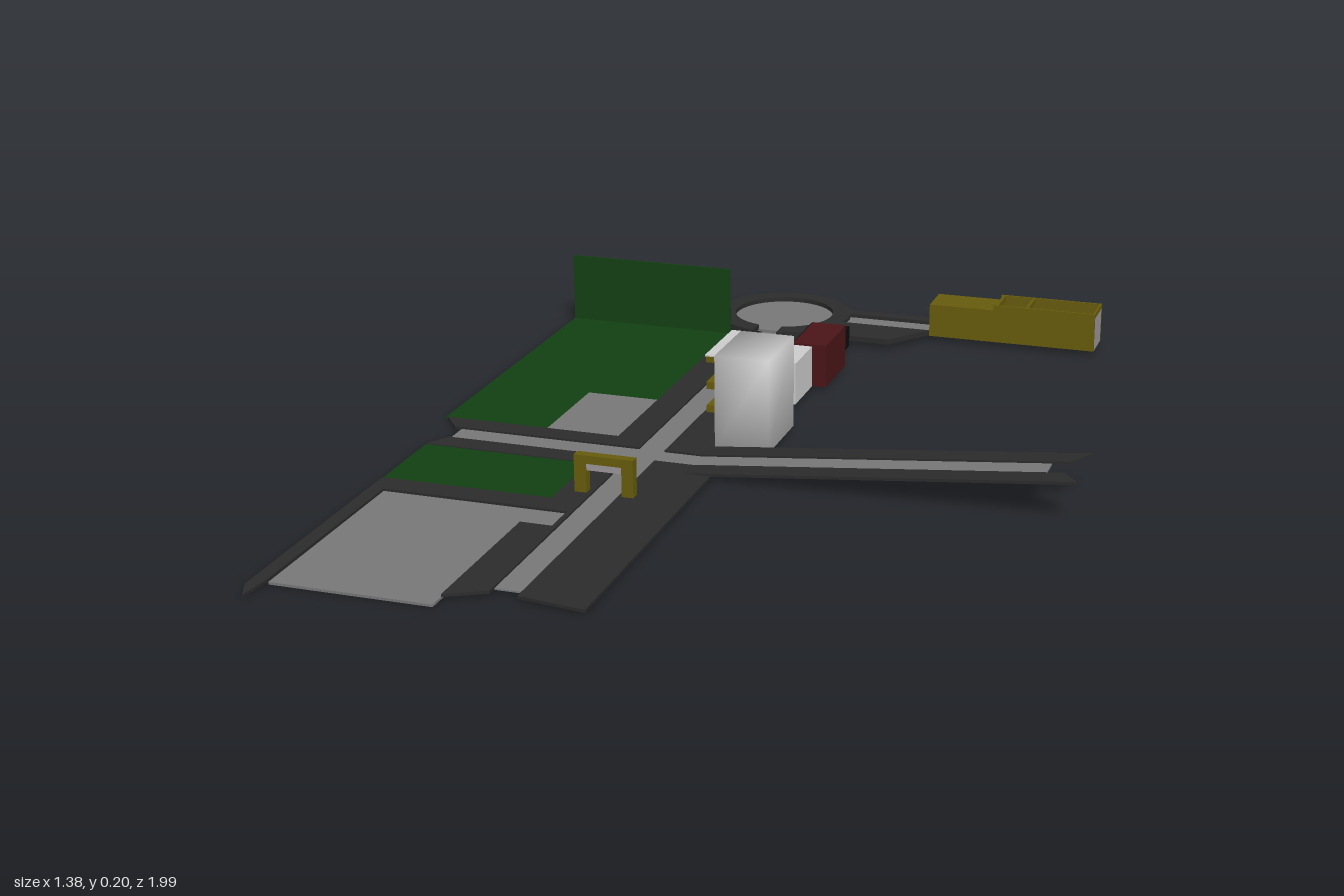
import * as THREE from 'three';
import { mergeVertices } from 'three/addons/utils/BufferGeometryUtils.js';

const mat = (color) => new THREE.MeshStandardMaterial({ color, side: THREE.DoubleSide });
const M = {
  pave: mat(0x2b2b2b), road: mat(0x777777), grass: mat(0x124012), yellow: mat(0x665a0c),
  white: mat(0xcccccc), red: mat(0x4a1518), black: mat(0x0e0e0e), teal: mat(0x2a9a70),
  darkGreen: mat(0x123a20), grey: mat(0x9a959a),
};

export function createModel() {
  const model = new THREE.Group();

  const add = (name, geo, material) => {
    const mesh = new THREE.Mesh(geo, material);
    mesh.name = name;
    model.add(mesh);
    return mesh;
  };

  // Flat slab from a plan outline of [x, z] points
  const slab = (name, pts, y0, y1, material) => {
    const shape = new THREE.Shape(pts.map(([x, z]) => new THREE.Vector2(x, -z)));
    const geo = new THREE.ExtrudeGeometry(shape, { depth: y1 - y0, bevelEnabled: false });
    geo.rotateX(-Math.PI / 2).translate(0, y0, 0);
    return add(name, geo, material);
  };
  const rect = (x0, x1, z0, z1) => [[x0, z0], [x1, z0], [x1, z1], [x0, z1]];

  // Box given by its limits
  const box = (name, x0, x1, y0, y1, z0, z1, material) => {
    const geo = new THREE.BoxGeometry(x1 - x0, y1 - y0, z1 - z0);
    geo.translate((x0 + x1) / 2, (y0 + y1) / 2, (z0 + z1) / 2);
    return add(name, geo, material);
  };

  const pave = (name, pts) => slab(name, pts, 0.004, 0.01, M.pave);
  const road = (name, pts) => slab(name, pts, 0.003, 0.006, M.road);

  // Main road, crossing road and their pavements
  road('mainRoad', rect(-0.235, -0.18, -0.74, 0.82));
  road('westRoad', rect(-0.63, -0.235, 0.09, 0.15));
  road('crossingEast', rect(-0.18, -0.1, 0.09, 0.15));
  pave('northEastPavement', rect(-0.18, -0.045, -0.72, 0.04));
  pave('northWestPavement', rect(-0.3, -0.235, -0.71, 0.04));
  pave('southEastPavement', [[-0.18, 0.2], [-0.045, 0.2], [-0.045, 0.865], [-0.18, 0.845]]);
  pave('southWestPavement', rect(-0.3, -0.235, 0.2, 0.455));
  pave('westPavementNorth', [[-0.685, 0.04], [-0.235, 0.04], [-0.235, 0.09], [-0.645, 0.09]]);
  pave('westPavementSouth', [[-0.63, 0.15], [-0.235, 0.15], [-0.235, 0.2], [-0.66, 0.2]]);
  pave('cornerNorth', rect(-0.18, -0.1, 0.04, 0.09));
  pave('cornerSouth', rect(-0.18, -0.1, 0.15, 0.2));

  // Rising east road
  const ramp = [
    slab('rampPavementNorth', [[-0.1, 0.04], [0.685, 0.04], [0.65, 0.09], [-0.1, 0.09]], 0.004, 0.01, M.pave),
    slab('rampPavementSouth', [[-0.1, 0.15], [0.65, 0.15], [0.685, 0.2], [-0.1, 0.2]], 0.004, 0.01, M.pave),
    slab('rampRoad', rect(-0.1, 0.615, 0.09, 0.15), 0.003, 0.006, M.road),
  ];
  for (const { geometry } of ramp) {
    const p = geometry.attributes.position;
    for (let i = 0; i < p.count; i++) p.setY(i, p.getY(i) + (p.getX(i) + 0.1) * 0.096);
    geometry.computeVertexNormals();
  }

  // Park with its back wall
  slab('park', [[-0.69, -0.69], [-0.3, -0.69], [-0.3, -0.2], [-0.46, -0.2], [-0.46, 0.04], [-0.69, 0.04]], 0.004, 0.008, M.grass);
  slab('parkPlaza', rect(-0.46, -0.3, -0.2, 0.04), 0.004, 0.008, M.road);
  box('parkWall', -0.69, -0.3, 0.005, 0.163, -0.694, -0.69, M.grass);

  // Lawn and car park
  slab('lawn', rect(-0.66, -0.3, 0.2, 0.4), 0.004, 0.008, M.grass);
  pave('lawnPavement', rect(-0.66, -0.3, 0.4, 0.455));
  pave('carParkEdge', [[-0.66, 0.455], [-0.63, 0.455], [-0.632, 0.915], [-0.64, 0.99], [-0.66, 0.945]]);
  slab('carPark', [[-0.63, 0.455], [-0.245, 0.455], [-0.245, 0.53], [-0.31, 0.53], [-0.31, 0.915], [-0.63, 0.915]], 0, 0.005, M.road);
  pave('carParkPavement', [[-0.31, 0.53], [-0.245, 0.53], [-0.245, 0.455], [-0.235, 0.455], [-0.235, 0.84], [-0.31, 0.88]]);

  // Roundabout, open to the south where the main road enters
  const cx = -0.214, cz = -0.84;
  const ringPts = [];
  for (const [r, dir] of [[0.158, 1], [0.116, -1]]) {
    for (let i = 0; i <= 40; i++) {
      const gap = 0.028 / r;
      const t = dir > 0 ? i / 40 : 1 - i / 40;
      const a = Math.PI / 2 + gap + t * (Math.PI * 2 - 2 * gap);
      ringPts.push([cx + r * Math.cos(a), cz + r * Math.sin(a)]);
    }
  }
  slab('roundaboutPavement', ringPts, 0.012, 0.024, M.pave);
  add('roundaboutRoad', new THREE.CylinderGeometry(0.118, 0.118, 0.006, 40).translate(cx, 0.011, cz), M.road);

  // Link from roundabout to tunnel
  slab('linkRoad', rect(-0.06, 0.15, -0.872, -0.806), 0.012, 0.016, M.road);
  slab('linkPavementNorth', [[-0.08, -0.903], [0.135, -0.903], [0.15, -0.885], [0.15, -0.872], [-0.06, -0.872]], 0.012, 0.024, M.pave);
  slab('linkPavementSouth', [[-0.07, -0.806], [0.15, -0.806], [0.075, -0.708], [-0.045, -0.708]], 0.012, 0.024, M.pave);

  // Tunnel: roofed entrance, then an open trough with a closed end
  for (const z of [-0.89, -0.806]) {
    box('tunnelWall', 0.15, 0.3, 0.012, 0.088, z, z + 0.005, M.yellow);
    box('troughWall', 0.3, 0.535, 0.012, 0.1, z, z + 0.005, M.yellow);
  }
  box('tunnelRoof', 0.15, 0.31, 0.084, 0.088, -0.885, -0.806, M.yellow);
  box('tunnelFloor', 0.15, 0.53, 0.012, 0.016, -0.885, -0.806, M.grey);
  box('troughEnd', 0.53, 0.535, 0.012, 0.09, -0.885, -0.806, M.grey);
  box('troughEndBeam', 0.53, 0.535, 0.09, 0.1, -0.885, -0.806, M.yellow);
  for (const x of [0.304, 0.374]) box('troughBeam', x, x + 0.007, 0.088, 0.1, -0.885, -0.806, M.yellow);

  // Gateway over the main road
  const gate = new THREE.Shape([[-0.27, 0.005], [-0.245, 0.005], [-0.245, 0.07], [-0.172, 0.07], [-0.172, 0.005],
    [-0.148, 0.005], [-0.148, 0.087], [-0.27, 0.087]].map(([x, y]) => new THREE.Vector2(x, y)));
  add('gateway', new THREE.ExtrudeGeometry(gate, { depth: 0.02, bevelEnabled: false }).translate(0, 0, 0.335), M.yellow);
  box('gatewayPanel', -0.245, -0.172, 0.056, 0.07, 0.337, 0.353, M.grey);

  // Tower with softly shaded body and balconies on its road side
  const tower = box('tower', -0.09, 0.025, 0.008, 0.205, -0.135, 0.038, M.white);
  tower.geometry.deleteAttribute('normal');
  tower.geometry.deleteAttribute('uv');
  tower.geometry = mergeVertices(tower.geometry);
  tower.geometry.computeVertexNormals();
  for (const y of [0.08, 0.13, 0.187]) {
    for (const z of [-0.125, -0.035]) box('balcony', -0.11, -0.09, y, y + 0.015, z, z + 0.065, M.yellow);
  }
  box('towerEaves', -0.11, -0.09, 0.202, 0.205, -0.135, 0.038, M.white);

  // Stepped white houses
  box('lowHouse', -0.11, -0.015, 0.008, 0.07, -0.262, -0.135, M.white);
  box('lowHousePorch', -0.13, -0.11, 0.008, 0.03, -0.25, -0.23, M.white);
  box('tallHouse', -0.065, -0.01, 0.008, 0.1, -0.385, -0.262, M.white);
  box('tallHouseStep', -0.1, -0.065, 0.008, 0.06, -0.285, -0.262, M.white);

  // Red house with a green yard
  box('redHouse', -0.055, 0.02, 0.008, 0.103, -0.545, -0.39, M.red);
  box('yard', -0.135, -0.055, 0.008, 0.014, -0.545, -0.39, M.darkGreen);
  box('yardStrip', -0.08, -0.055, 0.014, 0.03, -0.5, -0.41, M.teal);
  box('yardPorch', -0.13, -0.1, 0.028, 0.043, -0.42, -0.395, M.red);
  for (const x of [-0.13, -0.105]) box('porchPost', x, x + 0.005, 0.014, 0.028, -0.41, -0.405, M.white);

  // Black shed
  box('shed', -0.1, -0.01, 0.008, 0.055, -0.685, -0.547, M.black);

  return model;
}
